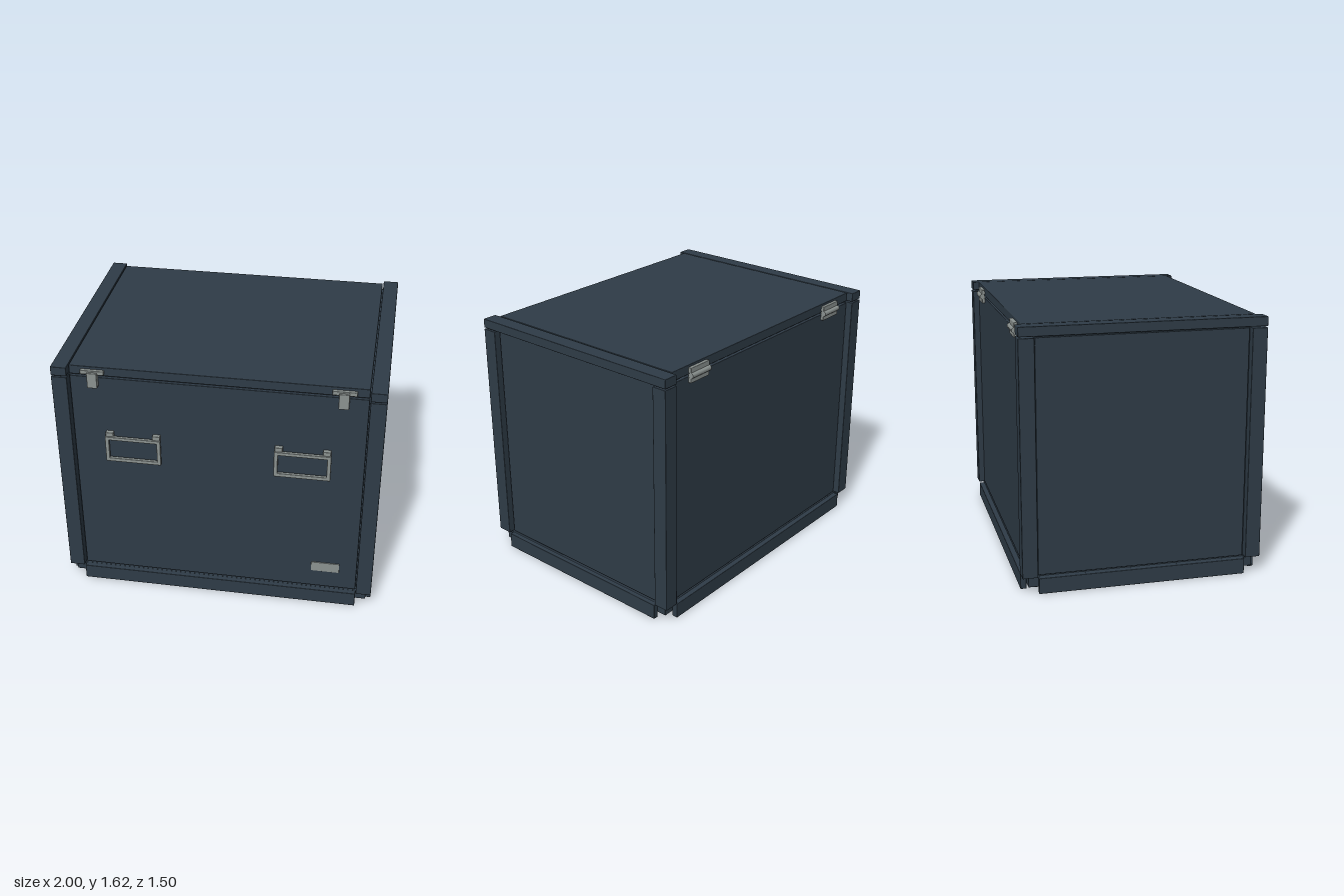
import * as THREE from 'three';
import { RoundedBoxGeometry } from 'three/addons/geometries/RoundedBoxGeometry.js';

export function createModel() {
  const model = new THREE.Group();
  model.name = 'transportCase';
  const paint = new THREE.MeshStandardMaterial({ color: 0x2f3c47 });
  paint.name = 'slate blue paint';
  const steel = new THREE.MeshStandardMaterial({ color: 0x8b9290 });
  steel.name = 'grey metal';

  // Box given by its extents, with slightly eased edges
  function box(name, [x0, x1], [y0, y1], [z0, z1], material = paint, parent = model) {
    const w = x1 - x0, h = y1 - y0, d = z1 - z0;
    const r = Math.min(0.004, Math.min(w, h, d) * 0.25);
    const mesh = new THREE.Mesh(new RoundedBoxGeometry(w, h, d, 1, r), material);
    mesh.position.set((x0 + x1) / 2, (y0 + y1) / 2, (z0 + z1) / 2);
    mesh.name = name;
    parent.add(mesh);
    return mesh;
  }
  // Extents mirrored to the chosen side
  const flip = (s, a, b) => (s > 0 ? [a, b] : [-b, -a]);

  // Inner body, lid and bottom deck
  box('core', [-0.95, 0.95], [0.09, 1.59], [-0.69, 0.69]);
  box('lid', [-0.897, 0.897], [1.562, 1.62], [-0.71, 0.71]);
  box('bottomDeck', [-0.967, 0.967], [0.035, 0.098], [-0.71, 0.71]);

  for (const s of [1, -1]) {
    // Walls and the skirt boards around the base
    box(s > 0 ? 'frontPanel' : 'backPanel', [-0.897, 0.897], [0.108, 1.55], flip(s, 0.66, 0.71));
    box(s > 0 ? 'leftPanel' : 'rightPanel', flip(s, 0.91, 0.965), [0.108, 1.55], [-0.648, 0.648]);
    box(s > 0 ? 'frontSkirt' : 'backSkirt', [-0.9, 0.9], [0, 0.1], flip(s, 0.71, 0.747));
    box(s > 0 ? 'leftSkirt' : 'rightSkirt', flip(s, 0.967, 1), [0, 0.1], [-0.65, 0.65]);
    // Raised end rails of the lid
    box('lidRail', flip(s, 0.903, 1), [1.562, 1.62], [-0.75, 0.75]);
    // Corner posts
    for (const t of [1, -1]) {
      box('cornerPost', flip(s, 0.903, 1), [0.105, 1.554], flip(t, 0.655, 0.75));
    }
  }

  // Boards under the deck with narrow seams between them
  const seams = [-0.9, -0.75, -0.46, 0.46, 0.75, 0.9];
  for (let i = 0; i < seams.length - 1; i++) {
    box('bottomBoard', [seams[i] + 0.004, seams[i + 1] - 0.004], [0.002, 0.04], [-0.675, 0.675]);
  }

  for (const s of [1, -1]) {
    // Latch: cross plate on the lid and a hanging hasp
    const latch = new THREE.Group();
    latch.name = 'latch';
    model.add(latch);
    box('latchPlate', flip(s, 0.68, 0.825), [1.575, 1.602], [0.705, 0.73], steel, latch);
    box('latchHasp', flip(s, 0.72, 0.782), [1.49, 1.592], [0.705, 0.744], steel, latch);

    // Drop handle: four bars hanging from two brackets
    const handle = new THREE.Group();
    handle.name = 'handle';
    model.add(handle);
    const z = [0.724, 0.745];
    box('handleTopBar', flip(s, 0.35, 0.697), [1.127, 1.15], z, steel, handle);
    box('handleGrip', flip(s, 0.35, 0.697), [0.972, 0.997], z, steel, handle);
    for (const x of [0.35, 0.673]) {
      box('handleSideBar', flip(s, x, x + 0.024), [0.98, 1.14], z, steel, handle);
    }
    for (const x of [0.353, 0.645]) {
      box('handleBracket', flip(s, x, x + 0.048), [1.13, 1.177], [0.705, 0.737], steel, handle);
    }

    // Back hinge: two leaves and a knuckle
    const hinge = new THREE.Group();
    hinge.name = 'hinge';
    model.add(hinge);
    box('hingeUpperLeaf', flip(s, 0.59, 0.755), [1.572, 1.605], [-0.73, -0.705], steel, hinge);
    box('hingeLowerLeaf', flip(s, 0.59, 0.755), [1.512, 1.545], [-0.73, -0.705], steel, hinge);
    const knuckle = new THREE.Mesh(new THREE.CylinderGeometry(0.018, 0.018, 0.165, 12), steel);
    knuckle.rotation.z = Math.PI / 2;
    knuckle.position.set(s * 0.672, 1.558, -0.727);
    knuckle.name = 'hingeKnuckle';
    hinge.add(knuckle);
  }

  // Blank name plate
  box('namePlate', [0.605, 0.785], [0.235, 0.305], [0.708, 0.716], steel);

  return model;
}
